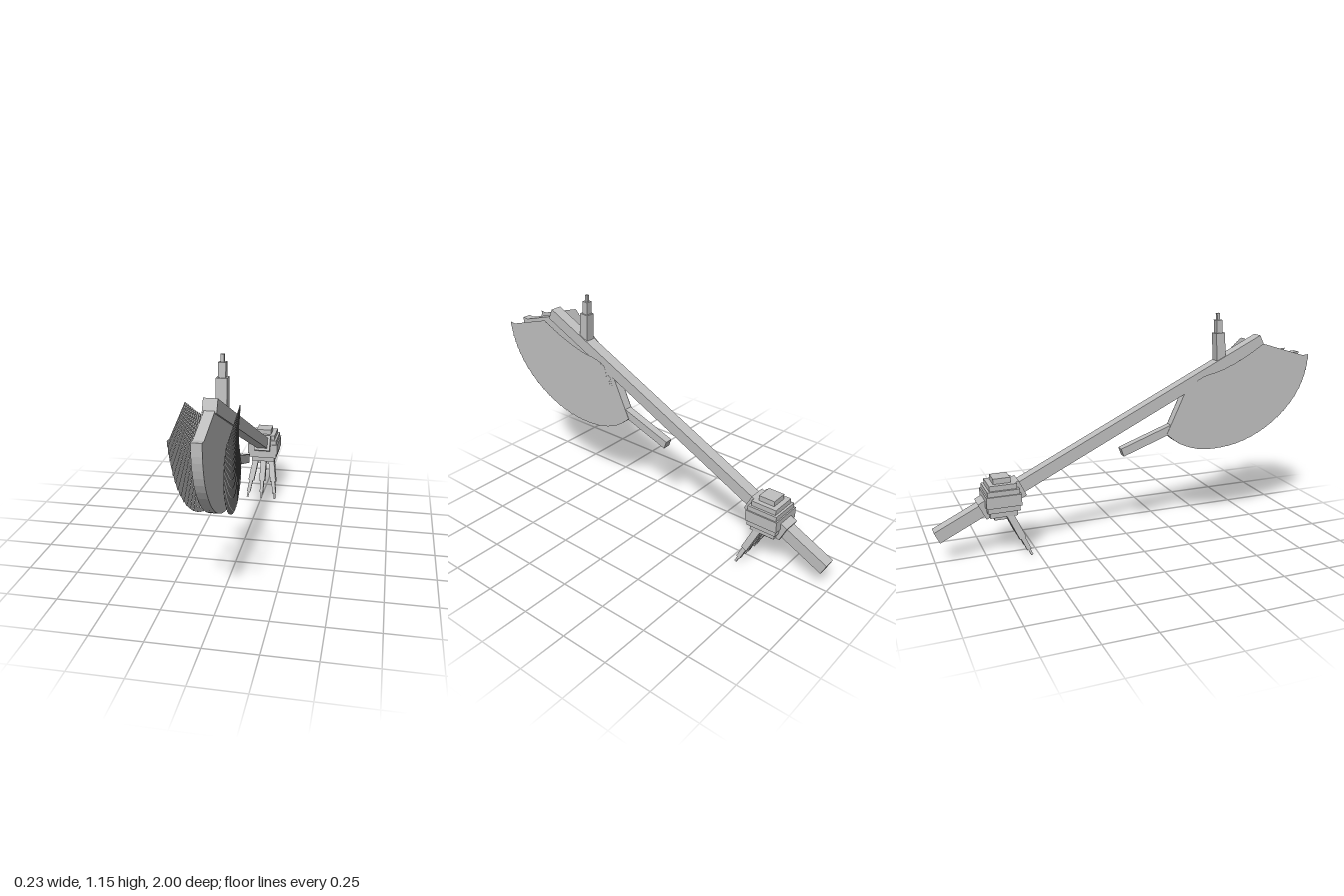
import * as THREE from 'three';

const grey = new THREE.MeshStandardMaterial({ color: 0xc0c0c0, flatShading: true, side: THREE.DoubleSide });
grey.name = 'plain grey';

const v = (x, y, z) => new THREE.Vector3(x, y, z);

// Box whose long axis runs from a to b, w wide across x and d deep
function beam(name, a, b, w, d) {
  const dir = b.clone().sub(a);
  const mesh = new THREE.Mesh(new THREE.BoxGeometry(w, dir.length(), d), grey);
  mesh.position.copy(a).add(b).multiplyScalar(0.5);
  const along = dir.normalize();
  const across = along.clone().cross(v(0, 0, 1)).normalize();
  mesh.quaternion.setFromRotationMatrix(
    new THREE.Matrix4().makeBasis(across, along, across.clone().cross(along)));
  mesh.name = name;
  return mesh;
}

// Row of ever thinner beams; tiers are [end fraction, width, depth]
function steppedSpike(name, a, b, tiers) {
  const group = new THREE.Group();
  group.name = name;
  let start = 0;
  for (const [end, w, d] of tiers) {
    group.add(beam(name + 'Tier', a.clone().lerp(b, start), a.clone().lerp(b, end), w, d));
    start = end;
  }
  return group;
}

// Smooth curve through (z, y) points, stored as x = z and y = y
const profile = (points) => new THREE.CatmullRomCurve3(points.map(([z, y]) => v(z, y, 0)));

// Blade: a solid core between two fans of flat strips that step outward to the front
function createBlade() {
  const blade = new THREE.Group();
  blade.name = 'blade';
  const count = 28;
  const rim = profile([
    [0.22, 0.53], [0.29, 0.475], [0.39, 0.44], [0.49, 0.435], [0.62, 0.455], [0.75, 0.51],
    [0.87, 0.6], [0.96, 0.72], [0.995, 0.83], [1, 0.92],
  ]);
  const inner = profile([[0.32, 0.745], [0.4, 0.822], [0.5, 0.858], [0.61, 0.915], [0.72, 0.992]]);

  const outline = new THREE.Shape([...rim.getPoints(count), v(0.965, 0.917, 0), ...inner.getPoints(12).reverse()]);
  const coreGeo = new THREE.ExtrudeGeometry(outline, { depth: 0.046, bevelEnabled: false });
  coreGeo.translate(0, 0, -0.023).rotateY(-Math.PI / 2);
  const core = new THREE.Mesh(coreGeo, grey);
  core.name = 'bladeCore';
  blade.add(core);

  for (let i = 0; i < count; i++) {
    const t0 = i / count;
    const t1 = Math.min((i + 1.25) / count, 1); // slight overlap between strips
    const corners = [inner.getPoint(t0), rim.getPoint(t0), rim.getPoint(t1)];
    if (t1 === 1) corners.push(v(0.965, 0.917, 0));
    corners.push(inner.getPoint(t1));
    const geo = new THREE.ShapeGeometry(new THREE.Shape(corners)).rotateY(-Math.PI / 2);
    for (const side of [-1, 1]) {
      const strip = new THREE.Mesh(geo, grey);
      strip.position.x = side * (0.025 + (0.09 * i) / (count - 1));
      strip.name = 'bladeStrip';
      blade.add(strip);
    }
  }
  return blade;
}

export function createModel() {
  const model = new THREE.Group();
  model.name = 'poleWeapon';

  // Sloping shaft and the collar around it
  const onShaft = (z) => v(0, 0.297 + 0.488 * (z + 0.665), z);
  model.add(beam('shaft', onShaft(-0.987), onShaft(0.765), 0.062, 0.062));
  model.add(beam('collar', onShaft(-0.767), onShaft(-0.563), 0.092, 0.09));

  model.add(createBlade());

  // Bar trailing from the lower blade corner
  model.add(beam('bladeBar', v(0, 0.565, 0.27), v(0, 0.458, -0.028), 0.042, 0.044));

  // Spike standing on the shaft
  model.add(steppedSpike('topSpike', v(0, 0.88, 0.528), v(0, 1.147, 0.51), [
    [0.62, 0.05, 0.05], [0.87, 0.034, 0.032], [1, 0.016, 0.016],
  ]));

  // Hub made of nested square slabs: half width, bottom, top
  const hub = new THREE.Group();
  hub.name = 'hub';
  for (const [half, y0, y1] of [
    [0.043, 0.195, 0.408], [0.068, 0.217, 0.381], [0.08, 0.245, 0.355], [0.087, 0.272, 0.33],
  ]) {
    const slab = new THREE.Mesh(new THREE.BoxGeometry(half * 2, y1 - y0, half * 2), grey);
    slab.position.set(0, (y0 + y1) / 2, -0.665);
    slab.name = 'hubSlab';
    hub.add(slab);
  }
  model.add(hub);

  // Three claws reaching down and forward from the hub
  for (const side of [-1, 0, 1]) {
    model.add(steppedSpike('claw', v(side * 0.044, 0.235, -0.642), v(side * 0.083, 0.004, -0.536), [
      [0.6, 0.033, 0.034], [0.87, 0.02, 0.022], [1, 0.01, 0.011],
    ]));
  }
  return model;
}
